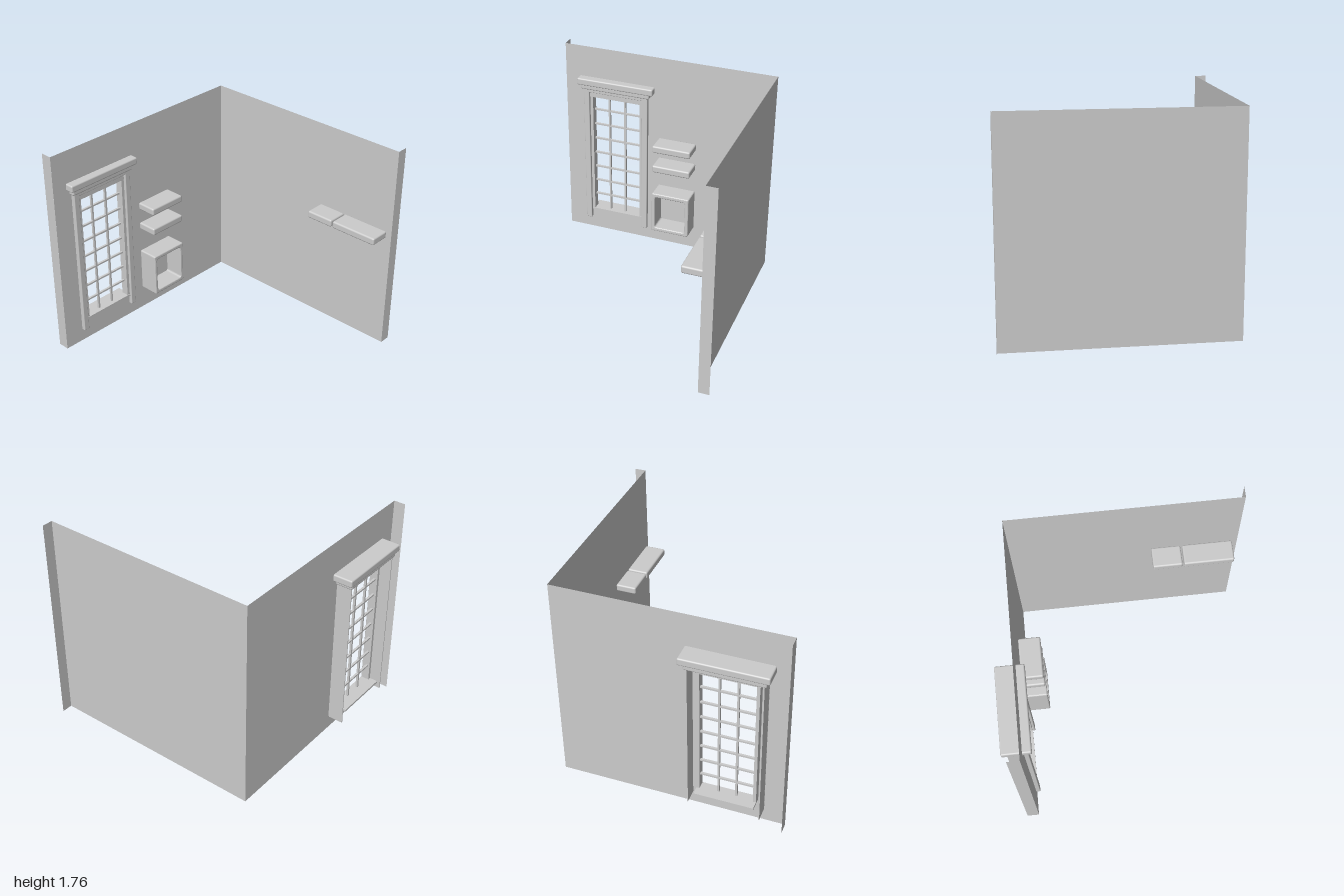
import * as THREE from 'three';
import { RoundedBoxGeometry } from 'three/addons/geometries/RoundedBoxGeometry.js';

const solid = new THREE.MeshStandardMaterial({ color: 0xcccccc });
const sheet = new THREE.MeshStandardMaterial({ color: 0xcccccc, side: THREE.DoubleSide });

const HEIGHT = 1.765, BACK_Z = -0.875, FRONT_Z = 0.97, WALL_X = -0.835, TILT = 0.0054;

function add(parent, name, geometry, material = solid) {
  const mesh = new THREE.Mesh(geometry, material);
  mesh.name = name;
  parent.add(mesh);
  return mesh;
}

// Box given by its limits on each axis; a radius rounds its edges
function block(parent, name, [x0, x1], [y0, y1], [z0, z1], radius = 0) {
  const size = [x1 - x0, y1 - y0, z1 - z0];
  const geometry = radius ? new RoundedBoxGeometry(...size, 3, radius) : new THREE.BoxGeometry(...size);
  geometry.translate((x0 + x1) / 2, (y0 + y1) / 2, (z0 + z1) / 2);
  return add(parent, name, geometry);
}

function rectangle(target, x0, x1, y0, y1) {
  target.moveTo(x0, y0);
  target.lineTo(x1, y0);
  target.lineTo(x1, y1);
  target.lineTo(x0, y1);
  target.closePath();
  return target;
}

function roundedRectangle(target, x0, x1, y0, y1, r) {
  target.moveTo(x0 + r, y0);
  target.lineTo(x1 - r, y0);
  target.quadraticCurveTo(x1, y0, x1, y0 + r);
  target.lineTo(x1, y1 - r);
  target.quadraticCurveTo(x1, y1, x1 - r, y1);
  target.lineTo(x0 + r, y1);
  target.quadraticCurveTo(x0, y1, x0, y1 - r);
  target.lineTo(x0, y0 + r);
  target.quadraticCurveTo(x0, y0, x0 + r, y0);
  return target;
}

function buildWalls() {
  const walls = new THREE.Group();
  walls.name = 'walls';

  // Side wall with the window opening, very slightly out of square
  const length = FRONT_Z - BACK_Z;
  const shape = rectangle(new THREE.Shape(), 0, length, 0, HEIGHT);
  shape.holes.push(rectangle(new THREE.Path(), 0.27 - BACK_Z, 0.755 - BACK_Z, 0.19, 1.36));
  const side = new THREE.ShapeGeometry(shape);
  side.rotateY(-Math.PI / 2 - TILT);
  side.translate(WALL_X, 0, BACK_Z);
  add(walls, 'sideWall', side, sheet);

  // Back wall
  const back = new THREE.PlaneGeometry(0.995 - WALL_X, HEIGHT);
  back.translate((0.995 + WALL_X) / 2, HEIGHT / 2, BACK_Z);
  add(walls, 'backWall', back, sheet);

  // Narrow returns at the free ends of both walls
  const frontReturn = new THREE.PlaneGeometry(0.095, HEIGHT);
  frontReturn.translate(-0.8925, HEIGHT / 2, FRONT_Z);
  add(walls, 'sideWallReturn', frontReturn, sheet);
  const backReturn = new THREE.PlaneGeometry(0.09, HEIGHT);
  backReturn.rotateY(Math.PI / 2);
  backReturn.translate(0.995, HEIGHT / 2, BACK_Z - 0.045);
  add(walls, 'backWallReturn', backReturn, sheet);
  return walls;
}

function buildWindow() {
  const window = new THREE.Group();
  window.name = 'window';
  const middle = 0.51;

  // Casing jambs: a face board and a deep outer board, open to the outside
  for (const s of [-1, 1]) {
    const span = (a, b) => [middle + s * a, middle + s * b].sort((p, q) => p - q);
    block(window, 'jambFace', [-0.85, -0.81], [0.11, 1.39], span(0.24, 0.29), 0.006);
    block(window, 'jambSide', [-0.968, -0.816], [0.11, 1.39], span(0.281, 0.289));
    block(window, 'sashStile', [-0.895, -0.83], [0.2, 1.355], span(0.213, 0.238));
  }
  block(window, 'headFace', [-0.85, -0.81], [1.36, 1.395], [0.22, 0.8], 0.006);
  block(window, 'headTop', [-0.968, -0.816], [1.382, 1.39], [0.22, 0.8]);
  block(window, 'sashHead', [-0.895, -0.83], [1.312, 1.358], [0.27, 0.75]);
  block(window, 'sill', [-0.965, -0.825], [0.19, 0.207], [0.272, 0.748]);

  // Cornice in two steps
  block(window, 'corniceLower', [-0.982, -0.797], [1.388, 1.435], [0.203, 0.817], 0.012);
  block(window, 'corniceUpper', [-1, -0.775], [1.432, 1.492], [0.165, 0.845], 0.012);

  // Glazing bars: three columns by eight rows
  for (let i = 1; i < 3; i++) {
    const z = 0.3 + i * 0.1425;
    block(window, 'verticalBar', [-0.88, -0.862], [0.2, 1.32], [z - 0.008, z + 0.008]);
  }
  for (let i = 1; i < 8; i++) {
    const y = 0.204 + i * 0.14;
    block(window, 'horizontalBar', [-0.88, -0.862], [y - 0.007, y + 0.007], [0.295, 0.73]);
  }
  return window;
}

// Hollow box on the side wall with a rounded opening
function buildCubby(parent) {
  const bevel = 0.01;
  const shape = roundedRectangle(new THREE.Shape(), -0.12, 0.215, 0.202, 0.576, 0.014);
  shape.holes.push(roundedRectangle(new THREE.Path(), -0.09, 0.182, 0.237, 0.54, 0.018));
  const geometry = new THREE.ExtrudeGeometry(shape, {
    depth: 0.175 - 2 * bevel, bevelEnabled: true, bevelSize: bevel,
    bevelThickness: bevel, bevelOffset: -bevel, bevelSegments: 3, curveSegments: 5,
  });
  geometry.rotateY(Math.PI / 2);
  geometry.translate(-0.838 + bevel, 0, 0);
  add(parent, 'cubby', geometry);
}

export function createModel() {
  const model = new THREE.Group();
  model.name = 'roomCorner';
  model.add(buildWalls(), buildWindow());

  // Shelves and cubby on the side wall
  for (const y of [0.785, 0.973]) {
    block(model, 'sideShelf', [-0.837, -0.662], [y, y + 0.063], [-0.215, 0.12], 0.014);
  }
  buildCubby(model);

  // Shelves on the back wall
  for (const x of [[0.293, 0.531], [0.544, 0.951]]) {
    block(model, 'backShelf', x, [0.996, 1.058], [-0.872, -0.7], 0.014);
  }
  return model;
}
